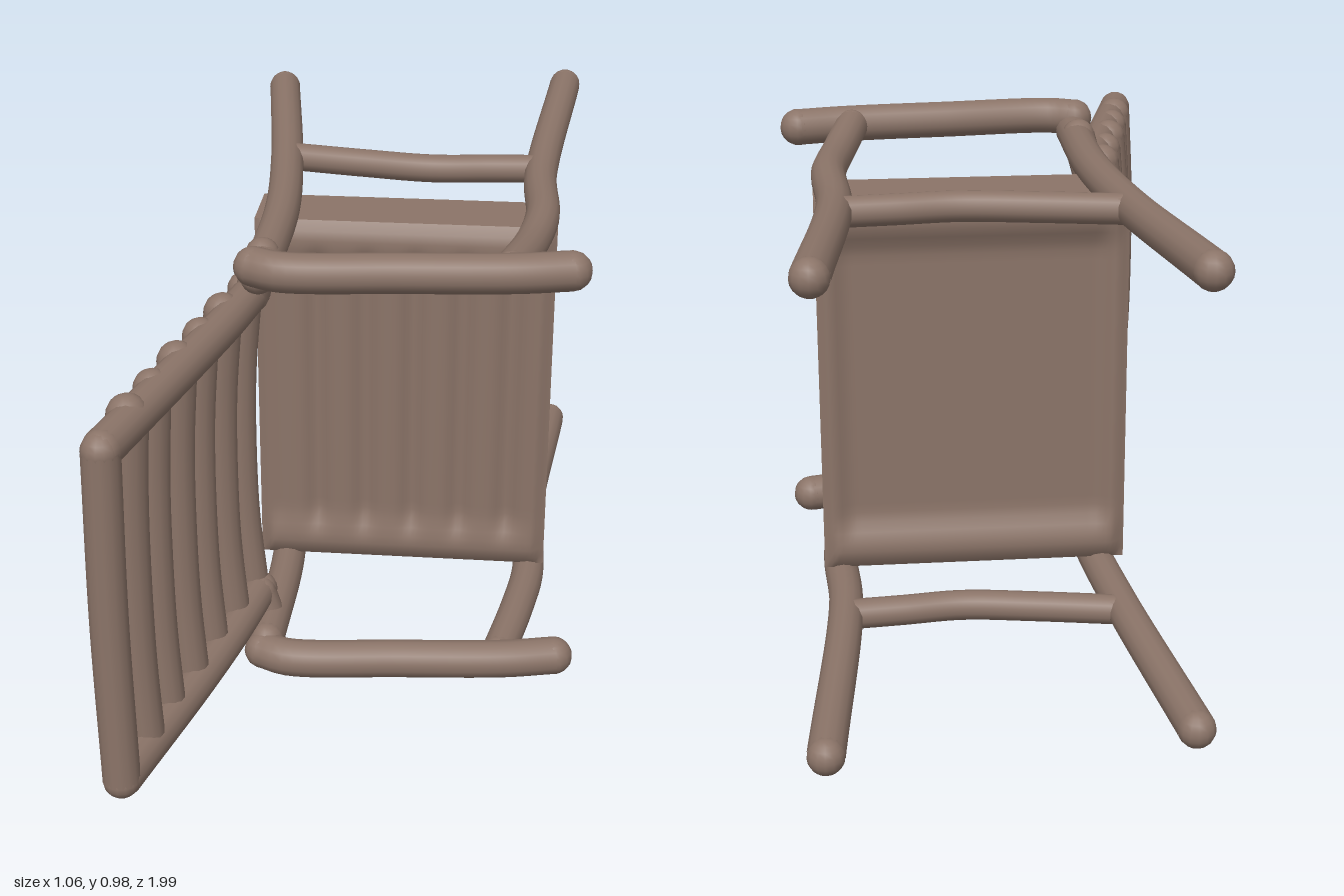
import * as THREE from 'three';

export function createModel() {
  const chair = new THREE.Group();
  chair.name = 'tippedArmchair';
  const wood = new THREE.MeshStandardMaterial({ color: 0x8b7468 });
  const V = (p) => new THREE.Vector3(...p);

  // Round rod along a smooth path, with domed ends
  function rod(name, pts, r) {
    const g = new THREE.Group();
    g.name = name;
    const path = new THREE.CatmullRomCurve3(pts.map(V), false, 'centripetal');
    g.add(new THREE.Mesh(new THREE.TubeGeometry(path, 32, r, 14), wood));
    for (const p of [pts[0], pts[pts.length - 1]]) {
      const cap = new THREE.Mesh(new THREE.SphereGeometry(r, 14, 10), wood);
      cap.position.set(...p);
      g.add(cap);
    }
    chair.add(g);
  }

  // The chair lies on its side: each side frame is at a nearly constant height
  const sides = [
    { n: 'lower', s: 1, leg: 0.055, foot: 0.042, frontFoot: 0.04, arm: 0.05, post: 0.125 },
    { n: 'upper', s: -1, leg: 0.915, foot: 0.935, frontFoot: 0.952, arm: 0.932, post: 0.826 },
  ];
  for (const { n, s, leg, foot, frontFoot, arm, post } of sides) {
    rod(n + 'RearLeg', [[-0.5, foot, -0.75], [-0.3, leg, -0.29], [-0.19, leg + 0.005 * s, 0],
      [-0.1, leg + 0.01 * s, 0.33]], 0.037);
    rod(n + 'BackPost', [[-0.155, post, 0.235], [-0.14, post, 0.4], [-0.13, post, 0.6],
      [-0.12, post + 0.005 * s, 0.955]], 0.037);
    // Short block where the leg meets the inset back post
    rod(n + 'PostJoint', [[-0.125, leg, 0.25], [-0.15, post, 0.25]], 0.036);
    rod(n + 'FrontLeg', [[0.155, frontFoot, -0.96], [0.26, leg, -0.4], [0.335, leg, -0.16],
      [0.358, leg, 0], [0.372, arm, 0.18]], 0.036);
    rod(n + 'Armrest', [[-0.1, arm, 0.35], [-0.04, arm, 0.358], [0.18, arm, 0.28],
      [0.39, arm, 0.2], [0.485, arm, 0.15]], 0.04);
    rod(n + 'Stretcher', [[-0.29, leg, -0.325], [-0.13, leg, -0.34], [0.02, leg, -0.36],
      [0.14, leg, -0.405], [0.25, leg, -0.445]], 0.031);
  }

  // Back slats, bowed more towards the seat
  [0.235, 0.36, 0.48, 0.6, 0.72, 0.835].forEach((z, i) => {
    const x = -0.172 + i * 0.008, bow = 0.022 - i * 0.002;
    rod('backSlat', [[x, 0.12, z], [x - bow * 0.8, 0.3, z], [x - bow, 0.475, z],
      [x - bow * 0.8, 0.65, z], [x, 0.83, z]], i % 2 ? 0.039 : 0.036);
  });
  rod('topRail', [[-0.12, 0.13, 0.96], [-0.125, 0.475, 0.96], [-0.12, 0.82, 0.96]], 0.036);

  // Seat slab: grooved upper face, slightly hollow underside, softened rim
  const D = 0.64, W = 0.81, T = 0.19;
  const geo = new THREE.BoxGeometry(D, W, T, 64, 40, 4);
  const p = geo.attributes.position;
  const step = THREE.MathUtils.smoothstep;
  for (let i = 0; i < p.count; i++) {
    const x = p.getX(i), y = p.getY(i), z = p.getZ(i);
    const dx = D / 2 - Math.abs(x), dy = W / 2 - Math.abs(y);
    const inset = step(dx, 0, 0.07) * step(dy, 0.05, 0.12);
    const rim = 0.02 * (1 - step(Math.min(dx, dy), 0, 0.03));
    const groove = 0.5 + 0.5 * Math.cos((x - 0.02) * Math.PI * 2 / 0.105);
    // The rim drop is shared by the walls, so the slab stays closed
    if (z > T / 2 - 1e-4) p.setZ(i, z - rim - inset * (0.01 + 0.016 * groove * groove));
    else if (z < -T / 2 + 1e-4) p.setZ(i, z + rim + inset * 0.025);
    else p.setZ(i, z * 0.8);
  }
  geo.computeVertexNormals();
  const seat = new THREE.Mesh(geo, wood);
  seat.name = 'seat';
  seat.position.set(0.043, 0.49, -0.14);
  seat.rotation.y = 0.27;
  chair.add(seat);

  return chair;
}
